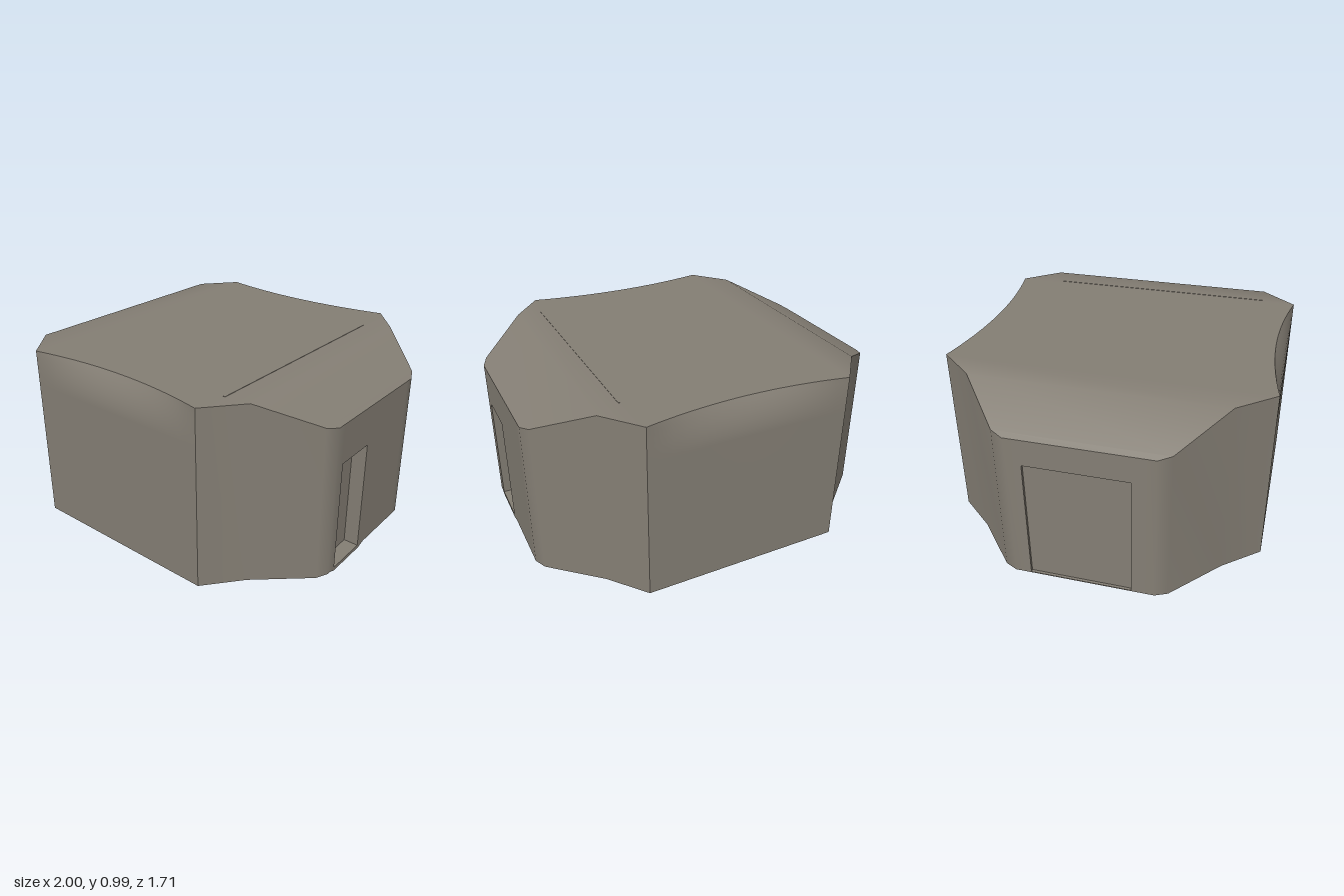
import * as THREE from 'three';

const BASE = 0.015, TOP = 0.99, EAVE = 0.845, DEPTH = 0.855;

// Plan of one quarter, from the front corner round to the side wall
const QUARTER = [[0.55, DEPTH], [0.71, 0.665], [0.97, 0.435], [1, 0.37], [1, 0.32]];

// Roof height: flat in the middle, sloping down to the sides
const roofY = (x) => TOP - Math.max(0, Math.abs(x) - 0.71) * (TOP - EAVE) / 0.29;

// How far the top of the front and back walls leans in, most at the middle
const lean = (x) => 0.06 * Math.max(0, 1 - (x / 0.55) ** 2);

// Smooth surface through rows of [x, y, z] points
function sheet(rows) {
  const n = rows[0].length, index = [];
  for (let r = 0; r < rows.length - 1; r++) {
    for (let c = 0; c < n - 1; c++) {
      const a = r * n + c, b = a + 1, d = a + n, e = d + 1;
      index.push(a, b, d, b, e, d);
    }
  }
  const g = new THREE.BufferGeometry();
  g.setAttribute('position', new THREE.Float32BufferAttribute(rows.flat(2), 3));
  g.setIndex(index);
  g.computeVertexNormals();
  return g;
}

function polygon(points) {
  return new THREE.Shape(points.map(([x, y]) => new THREE.Vector2(x, y)));
}

function roundedRect(w, d, r) {
  const p = new THREE.Path();
  [[w, d, 0], [-w, d, 1], [-w, -d, 2], [w, -d, 3]].forEach(([x, y, q]) => {
    p.absarc(x - Math.sign(x) * r, y - Math.sign(y) * r, r, q * Math.PI / 2, (q + 1) * Math.PI / 2);
  });
  p.closePath();
  return p;
}

export function createModel() {
  const model = new THREE.Group();
  const stone = new THREE.MeshStandardMaterial({ color: 0x847e74, side: THREE.DoubleSide });
  stone.name = 'warm grey';

  const add = (name, geometry) => {
    const mesh = new THREE.Mesh(geometry, stone);
    mesh.name = name;
    model.add(mesh);
    return mesh;
  };

  // Front and back walls, easing inward near the top
  const xs = Array.from({ length: 17 }, (_, i) => -0.55 + 1.1 * i / 16);
  const ys = [BASE, 0.8, 0.84, 0.88, 0.92, 0.96, TOP];
  for (const s of [1, -1]) {
    add(s > 0 ? 'frontWall' : 'backWall', sheet(ys.map((y) => xs.map((x) => {
      const t = Math.max(0, (y - 0.8) / (TOP - 0.8));
      return [s * x, y, s * (DEPTH - lean(x) * t * t)];
    }))));
  }

  // Four bent corner walls
  for (const sx of [1, -1]) {
    for (const sz of [1, -1]) {
      const pts = sx * sz > 0 ? QUARTER : [...QUARTER].reverse();
      add('cornerWall', sheet([
        pts.map(([x, z]) => [sx * x, BASE, sz * z]),
        pts.map(([x, z]) => [sx * x, roofY(x), sz * z]),
      ]));
    }
  }

  // Side walls with a doorway cut in each, and a recess behind it
  const doors = [
    { s: 1, name: 'left', z0: 0.07, z1: 0.31, h: 0.63, depth: 0.08 },
    { s: -1, name: 'right', z0: -0.285, z1: 0.25, h: 0.7, depth: 0.015 },
  ];
  for (const { s, name, z0, z1, h, depth } of doors) {
    const [a, b] = s > 0 ? [-z1, -z0] : [z0, z1];
    const wall = polygon([[-0.32, BASE], [0.32, BASE], [0.32, EAVE], [-0.32, EAVE]]);
    wall.holes.push(polygon([[a, 0.02], [a, h], [b, h], [b, 0.02]]));
    const mesh = add(name + 'Wall', new THREE.ShapeGeometry(wall));
    mesh.rotation.y = s * Math.PI / 2;
    mesh.position.x = s;

    // Box with its outer face removed
    const recess = new THREE.BoxGeometry(depth, h - 0.02, z1 - z0);
    const index = Array.from(recess.index.array);
    index.splice(s > 0 ? 0 : 6, 6);
    recess.setIndex(index);
    recess.clearGroups();
    add(name + 'DoorRecess', recess)
      .position.set(s * (1 - depth / 2), (h + 0.02) / 2, (z0 + z1) / 2);
  }

  // Flared doorstep under the small door
  const step = new THREE.ExtrudeGeometry(
    polygon([[-0.31, 0], [-0.06, 0], [0, 0.018], [-0.36, 0.018]]),
    { depth: 0.08, bevelEnabled: false });
  const stepMesh = add('doorstep', step);
  stepMesh.rotation.y = Math.PI / 2;
  stepMesh.position.x = 0.92;

  // Roof, swept across the width
  const right = QUARTER.slice(1, 4);
  const stations = [
    ...right.map(([x, z]) => [-x, z]).reverse(),
    ...xs.map((x) => [x, DEPTH - lean(x)]),
    ...right,
  ];
  add('roof', sheet(stations.map(([x, z]) => [[x, roofY(x), -z], [x, roofY(x), z]])));

  // Inner ceiling with a raised rounded panel
  const ceiling = polygon([
    [0.58, 0.79], [-0.58, 0.79], [-0.73, 0.64], [-0.73, -0.64],
    [-0.58, -0.79], [0.58, -0.79], [0.73, -0.64], [0.73, 0.64],
  ]);
  ceiling.holes.push(roundedRect(0.575, 0.685, 0.05));
  const ceilingMesh = add('ceilingRim',
    new THREE.ExtrudeGeometry(ceiling, { depth: 0.03, bevelEnabled: false, curveSegments: 6 }));
  ceilingMesh.rotation.x = Math.PI / 2;
  ceilingMesh.position.y = 0.98;

  // Faint seam along the roof
  add('roofSeam', new THREE.BoxGeometry(0.012, 0.006, 1.28)).position.set(0.573, 0.989, 0.04);

  return model;
}
